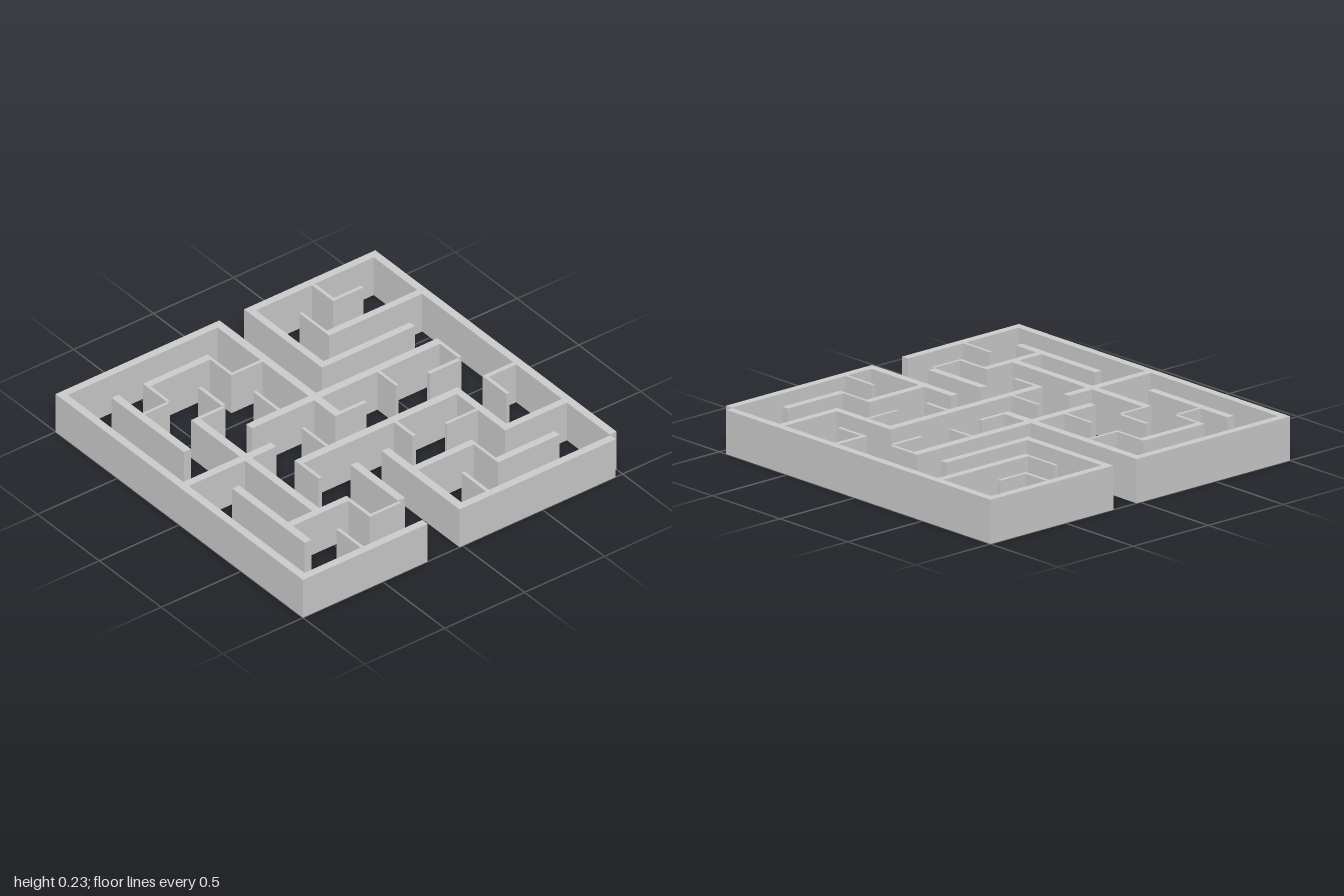
import * as THREE from 'three';

const HEIGHT = 0.23;

// Each wall is [x0, x1, z0, z1] on the ground plan.
const outerWalls = {
  backWall: [-1, 0.95, -1, -0.957],
  leftWallBack: [-1, -0.957, -1, -0.18],
  leftWallFront: [-1, -0.957, -0.025, 1],
  frontWall: [-1, 1, 0.957, 1],
  rightWallBack: [0.957, 1, -0.957, 0.02],
  rightWallFront: [0.957, 1, 0.22, 1],
};

// Thick partitions
const thickWalls = [
  [-0.605, -0.565, -0.96, -0.375],
  [-0.41, -0.37, -0.76, -0.18],
  [-0.98, -0.37, -0.22, -0.18],
  [-0.22, -0.175, -0.785, 0.41],
  [-0.98, -0.003, -0.025, 0.02],
  [0.565, 0.605, -0.96, -0.57],
  [0.17, 0.605, -0.61, -0.57],
  [0.17, 0.215, -0.61, 0.41],
  [0.76, 0.8, -0.76, -0.375],
  [0.565, 0.605, -0.392, 0.02],
  [0.37, 0.98, -0.025, 0.02],
  [0.37, 0.755, 0.172, 0.215],
  [0.565, 0.605, 0.39, 0.76],
  [0.17, 0.755, 0.757, 0.8],
  [-0.415, 0.605, 0.562, 0.605],
  [-0.022, 0.022, 0.41, 0.98],
  [-0.805, -0.765, 0.198, 0.605],
  [-0.805, -0.22, 0.757, 0.8],
];

// Thin partitions
const thinWalls = [
  [-0.805, -0.565, -0.392, -0.375],
  [-0.805, -0.785, -0.76, -0.57],
  [-0.96, -0.785, -0.59, -0.57],
  [-0.22, -0.025, -0.785, -0.765],
  [-0.025, -0.003, -0.76, -0.57],
  [-0.2, -0.025, -0.392, -0.375],
  [-0.025, -0.003, -0.175, 0.02],
  [0.17, 0.195, -0.96, -0.765],
  [0.17, 0.365, -0.785, -0.765],
  [0.37, 0.387, -0.58, -0.375],
  [0.2, 0.365, -0.198, -0.178],
  [0.76, 0.96, -0.198, -0.178],
  [0.565, 0.8, -0.392, -0.375],
  [0.76, 0.777, 0.215, 0.41],
  [0.565, 0.777, 0.39, 0.41],
  [0.76, 0.96, 0.587, 0.605],
  [-0.415, -0.395, 0.41, 0.605],
  [-0.61, -0.415, 0.39, 0.41],
  [0.2, 0.365, 0.39, 0.41],
  [-0.415, -0.2, 0.198, 0.215],
  [-0.025, 0.18, 0.198, 0.215],
  [-0.61, -0.593, 0.01, 0.215],
  [-0.805, -0.593, 0.198, 0.215],
  [-0.805, -0.61, 0.587, 0.605],
  [-0.61, -0.593, 0.605, 0.76],
];

export function createModel() {
  const maze = new THREE.Group();
  maze.name = 'maze';
  const material = new THREE.MeshStandardMaterial({ color: 0xcccccc, flatShading: true });

  const addWall = (name, [x0, x1, z0, z1]) => {
    const wall = new THREE.Mesh(new THREE.BoxGeometry(x1 - x0, HEIGHT, z1 - z0), material);
    wall.position.set((x0 + x1) / 2, HEIGHT / 2, (z0 + z1) / 2);
    wall.name = name;
    maze.add(wall);
  };

  Object.entries(outerWalls).forEach(([name, plan]) => addWall(name, plan));
  thickWalls.forEach((plan, i) => addWall(`thickPartition${i + 1}`, plan));
  thinWalls.forEach((plan, i) => addWall(`thinPartition${i + 1}`, plan));
  return maze;
}
